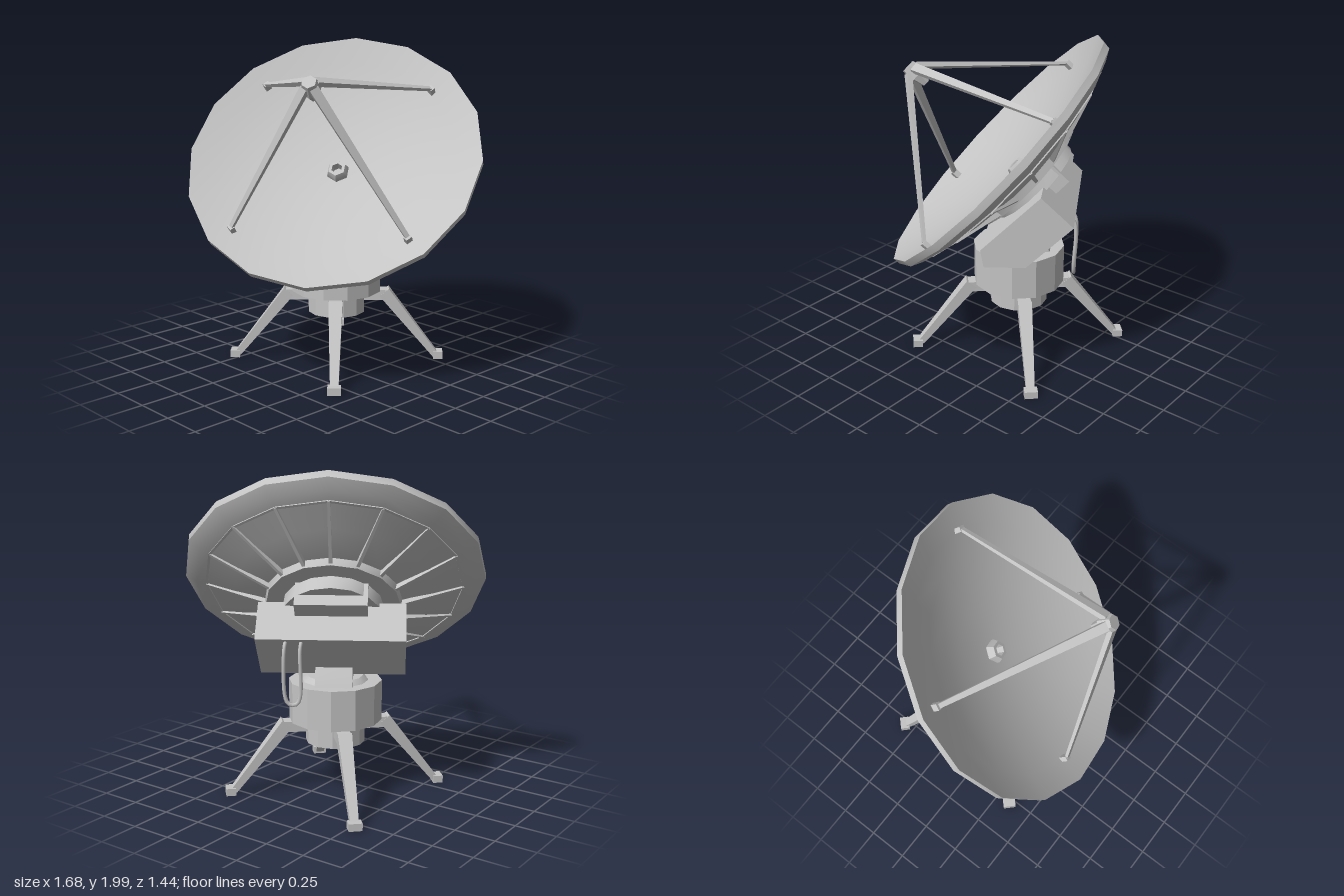
import * as THREE from 'three';
import { toCreasedNormals } from 'three/addons/utils/BufferGeometryUtils.js';

export function createModel() {
  const grey = new THREE.MeshStandardMaterial({ color: 0xc4c4c4 });
  grey.name = 'light grey';
  const V = (x, y, z) => new THREE.Vector3(x, y, z);
  const YAW = THREE.MathUtils.degToRad(32);
  const TILT = THREE.MathUtils.degToRad(47);

  const add = (parent, name, geometry, crease = 0.5) => {
    const mesh = new THREE.Mesh(toCreasedNormals(geometry, crease), grey);
    mesh.name = name;
    parent.add(mesh);
    return mesh;
  };
  const group = (parent, name) => {
    const g = new THREE.Group();
    g.name = name;
    parent.add(g);
    return g;
  };
  const cylinder = (rTop, rBottom, y0, y1, sides) =>
    new THREE.CylinderGeometry(rTop, rBottom, y1 - y0, sides).translate(0, (y0 + y1) / 2, 0);
  const box = (w, h, d, x, y, z) => new THREE.BoxGeometry(w, h, d).translate(x, y, z);
  const lathe = (points, sides) =>
    new THREE.LatheGeometry(points.map(([r, y]) => new THREE.Vector2(r, y)), sides);

  // Tapered rectangular bar from p to q; sizes are [width, depth] at each end
  const beam = (p, q, [w0, d0], [w1, d1] = [w0, d0]) => {
    const dir = q.clone().sub(p);
    const g = new THREE.BoxGeometry(1, dir.length(), 1);
    const pos = g.attributes.position;
    for (let i = 0; i < pos.count; i++) {
      const top = pos.getY(i) > 0;
      pos.setX(i, pos.getX(i) * (top ? w1 : w0));
      pos.setZ(i, pos.getZ(i) * (top ? d1 : d0));
    }
    g.applyQuaternion(new THREE.Quaternion().setFromUnitVectors(V(0, 1, 0), dir.clone().normalize()));
    return g.translate((p.x + q.x) / 2, (p.y + q.y) / 2, (p.z + q.z) / 2);
  };

  // Side profile given as [backward, up] pairs, extruded across x
  const sideExtrude = (points, width) =>
    new THREE.ExtrudeGeometry(new THREE.Shape(points.map(([x, y]) => new THREE.Vector2(x, y))),
      { depth: width, bevelEnabled: false }).translate(0, 0, -width / 2).rotateY(Math.PI / 2);

  const model = new THREE.Group();
  model.name = 'dishAntenna';

  // Pedestal
  const base = group(model, 'pedestal');
  base.position.set(-0.08, 0, -0.11);
  add(base, 'drum', cylinder(0.282, 0.282, 0.455, 0.7, 12));
  add(base, 'lowerDrum', cylinder(0.18, 0.18, 0.315, 0.46, 12));
  add(base, 'turntable', cylinder(0.17, 0.2, 0.7, 0.73, 12));
  const yoke = add(base, 'yoke',
    sideExtrude([[-0.19, 0.7], [0.2, 0.7], [0.17, 0.76], [0.08, 0.9], [-0.06, 0.9], [-0.12, 0.8]], 0.22));
  yoke.rotation.y = YAW;

  // Four splayed legs on the diagonals
  for (let i = 0; i < 4; i++) {
    const leg = group(base, 'leg');
    leg.rotation.y = Math.PI / 4 + i * Math.PI / 2;
    add(leg, 'legBracket', box(0.08, 0.065, 0.2, 0, 0.422, 0.22));
    add(leg, 'legStrut', beam(V(0, 0.03, 0.625), V(0, 0.44, 0.3), [0.05, 0.04], [0.085, 0.075]));
    add(leg, 'foot', box(0.08, 0.045, 0.06, 0, 0.026, 0.645));
  }

  // Dish assembly: local +y is the pointing axis
  const dish = group(model, 'dishAssembly');
  dish.position.set(0, 1.325, 0);
  dish.rotation.set(TILT, YAW, 0, 'YXZ');

  // Reflector shell: thick back, turned rim and parabolic face
  const R = 0.905;
  const bowl = (r) => 0.01 - 0.245 * (R * R - r * r);
  add(dish, 'reflector', lathe([
    [0, -0.235], [0.4, -0.2], [0.6, -0.148], [0.77, -0.092], [0.835, -0.075], [0.903, -0.035], [R, 0.01],
    ...[0.75, 0.6, 0.45, 0.3, 0.15, 0].map((r) => [r, bowl(r)])], 16));

  // Rear hub, radial ribs and the hoop joining their tips
  add(dish, 'rearHub', cylinder(0.41, 0.4, -0.245, -0.19, 16));
  add(dish, 'hubNeck', cylinder(0.3, 0.3, -0.33, -0.24, 16));
  const tip = V(0, -0.092, 0.77);
  const step = Math.PI / 8;
  for (let i = 0; i < 16; i++) {
    const rib = group(dish, 'backRib');
    rib.rotation.y = i * step;
    add(rib, 'rib', beam(V(0, -0.222, 0.39), tip, [0.02, 0.03], [0.016, 0.022]));
    add(rib, 'hoopBar', beam(tip, tip.clone().applyAxisAngle(V(0, 1, 0), step), [0.014, 0.014]));
  }

  // Hollow feed cone at the centre of the dish
  add(dish, 'centreCone',
    lathe([[0.035, -0.2], [0.07, -0.2], [0.07, -0.17], [0.055, -0.14], [0.035, -0.14], [0.03, -0.2]], 6));

  // Four struts carrying the receiver at the focus
  for (let i = 0; i < 4; i++) {
    const arm = group(dish, 'feedArm');
    arm.rotation.y = Math.PI / 4 + i * Math.PI / 2;
    add(arm, 'feedStrut', beam(V(0, -0.01, 0.745), V(0, 0.685, 0.035), [0.028, 0.018], [0.055, 0.03]));
    add(arm, 'strutPad', box(0.04, 0.05, 0.03, 0, -0.03, 0.75));
  }
  add(dish, 'receiver', cylinder(0.045, 0.06, 0.64, 0.715, 6));
  add(dish, 'receiverHorn', cylinder(0.045, 0.025, 0.57, 0.64, 6));

  // Equipment housing behind the dish
  add(dish, 'housing',
    sideExtrude([[0.12, -0.305], [0.12, -0.565], [-0.265, -0.55], [-0.44, -0.378], [-0.375, -0.29]], 0.86));
  add(dish, 'housingTopBox', box(0.42, 0.17, 0.13, 0, -0.315, -0.165));

  // Cable loop hanging from the back of the housing
  const cable = new THREE.CatmullRomCurve3([
    V(-0.1, 1.03, -0.46), V(-0.115, 0.98, -0.505), V(-0.115, 0.7, -0.505), V(-0.1, 0.65, -0.515),
    V(-0.08, 0.64, -0.53), V(-0.055, 0.65, -0.545), V(-0.04, 0.7, -0.555), V(-0.04, 0.98, -0.555),
    V(-0.025, 1.03, -0.51)]);
  add(model, 'cableLoop', new THREE.TubeGeometry(cable, 40, 0.012, 6), 1.2);

  return model;
}
